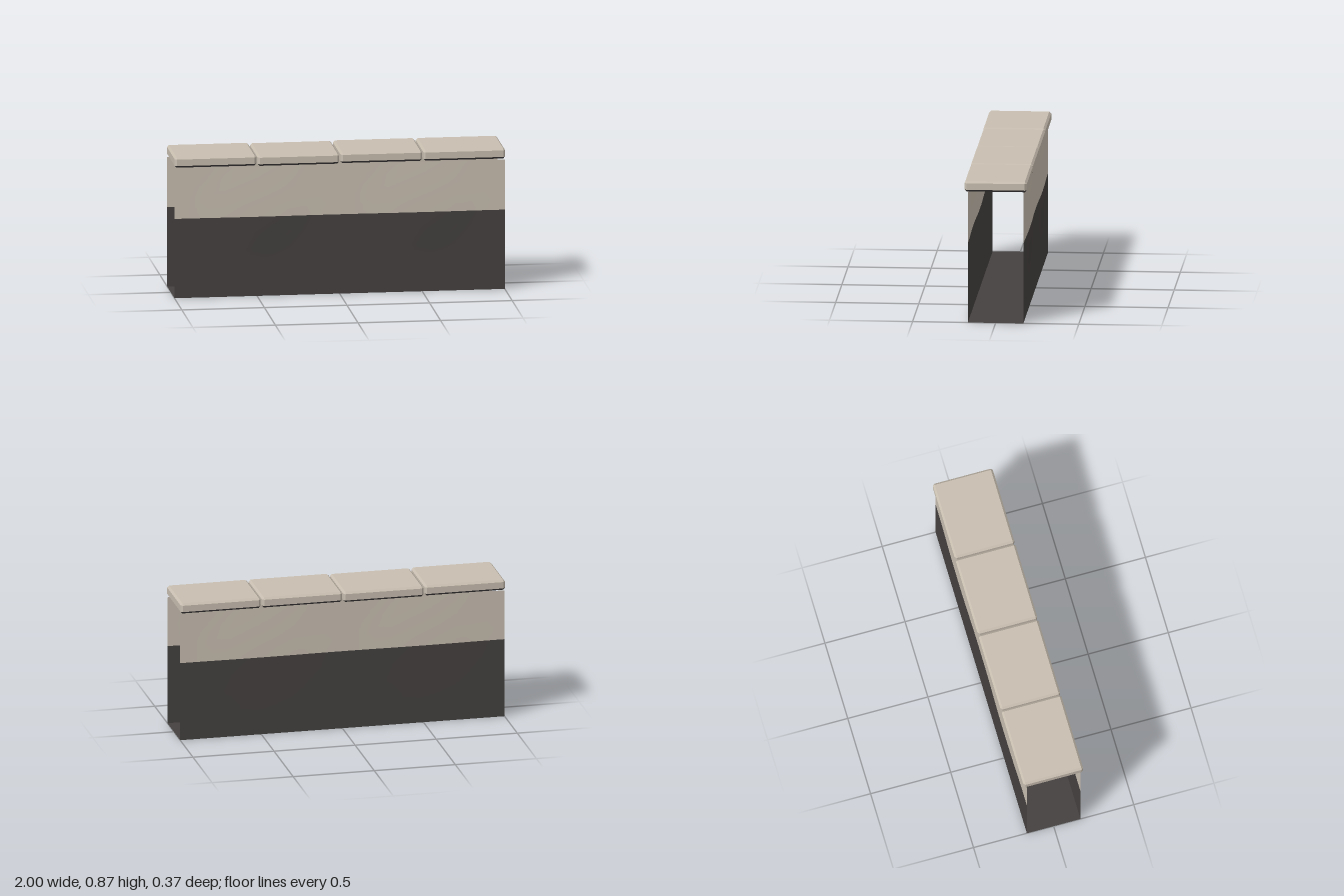
import * as THREE from 'three';
import { ConvexGeometry } from 'three/addons/geometries/ConvexGeometry.js';

const mat = (name, color, extra = {}) => {
  const m = new THREE.MeshStandardMaterial({ color, ...extra });
  m.name = name;
  return m;
};

export function createModel() {
  const group = new THREE.Group();
  const plaster = mat('beige plaster', 0xc8beb0, { side: THREE.DoubleSide });
  const base = mat('dark base', 0x454140, { side: THREE.DoubleSide });

  const add = (parent, name, geometry, material) => {
    const mesh = new THREE.Mesh(geometry, material);
    mesh.name = name;
    parent.add(mesh);
    return mesh;
  };

  // Wall sheet between two heights, with two very shallow bulges along its length
  const sheet = (y0, y1) => {
    const g = new THREE.PlaneGeometry(2, y1 - y0, 20, 5);
    g.translate(0, (y0 + y1) / 2, 0);
    const p = g.attributes.position;
    for (let i = 0; i < p.count; i++) {
      const dx = (Math.abs(p.getX(i)) - 0.5) / 0.35;
      const dy = (p.getY(i) - 0.53) / 0.3;
      p.setZ(i, 0.167 + 0.005 * Math.max(0, 1 - dx * dx - dy * dy));
    }
    g.computeVertexNormals();
    return g;
  };

  // Front and back walls: dark lower half, beige upper half
  for (const [side, turn] of [['front', 0], ['back', Math.PI]]) {
    const wall = new THREE.Group();
    wall.name = side + 'Wall';
    add(wall, side + 'WallLower', sheet(0, 0.487), base);
    add(wall, side + 'WallUpper', sheet(0.487, 0.796), plaster);
    wall.rotation.y = turn;
    group.add(wall);
  }

  // Floor closing the bottom between the walls
  const floor = new THREE.PlaneGeometry(2, 0.334).rotateX(Math.PI / 2);
  add(group, 'floor', floor, base);

  // Coping stone: box with chamfered edges, its downward faces dark
  const capGeometry = (w, h, d, c) => {
    const points = [];
    for (const x of [-w / 2, w / 2]) for (const y of [-h / 2, h / 2]) for (const z of [-d / 2, d / 2]) {
      const ix = x - Math.sign(x) * c, iy = y - Math.sign(y) * c, iz = z - Math.sign(z) * c;
      points.push(new THREE.Vector3(x, iy, iz), new THREE.Vector3(ix, y, iz), new THREE.Vector3(ix, iy, z));
    }
    const g = new ConvexGeometry(points);
    // Order the triangles so that each colour forms one group
    const p = g.attributes.position.array, n = g.attributes.normal;
    const upper = [], lower = [];
    for (let i = 0; i < n.count; i += 3) (n.getY(i) < -0.1 ? lower : upper).push(i, i + 1, i + 2);
    const out = new THREE.BufferGeometry();
    out.setAttribute('position', new THREE.Float32BufferAttribute(
      [...upper, ...lower].flatMap((i) => [p[i * 3], p[i * 3 + 1], p[i * 3 + 2]]), 3));
    out.computeVertexNormals();
    out.addGroup(0, upper.length, 0);
    out.addGroup(upper.length, lower.length, 1);
    return out;
  };

  const cap = capGeometry(0.494, 0.064, 0.374, 0.012);
  [0, -0.003, 0, 0].forEach((drop, i) => {
    add(group, 'copingStone' + (i + 1), cap, [plaster, base])
      .position.set(-0.75 + i * 0.5 + (i - 1.5) * 0.002, 0.835 + drop, 0);
  });

  return group;
}
